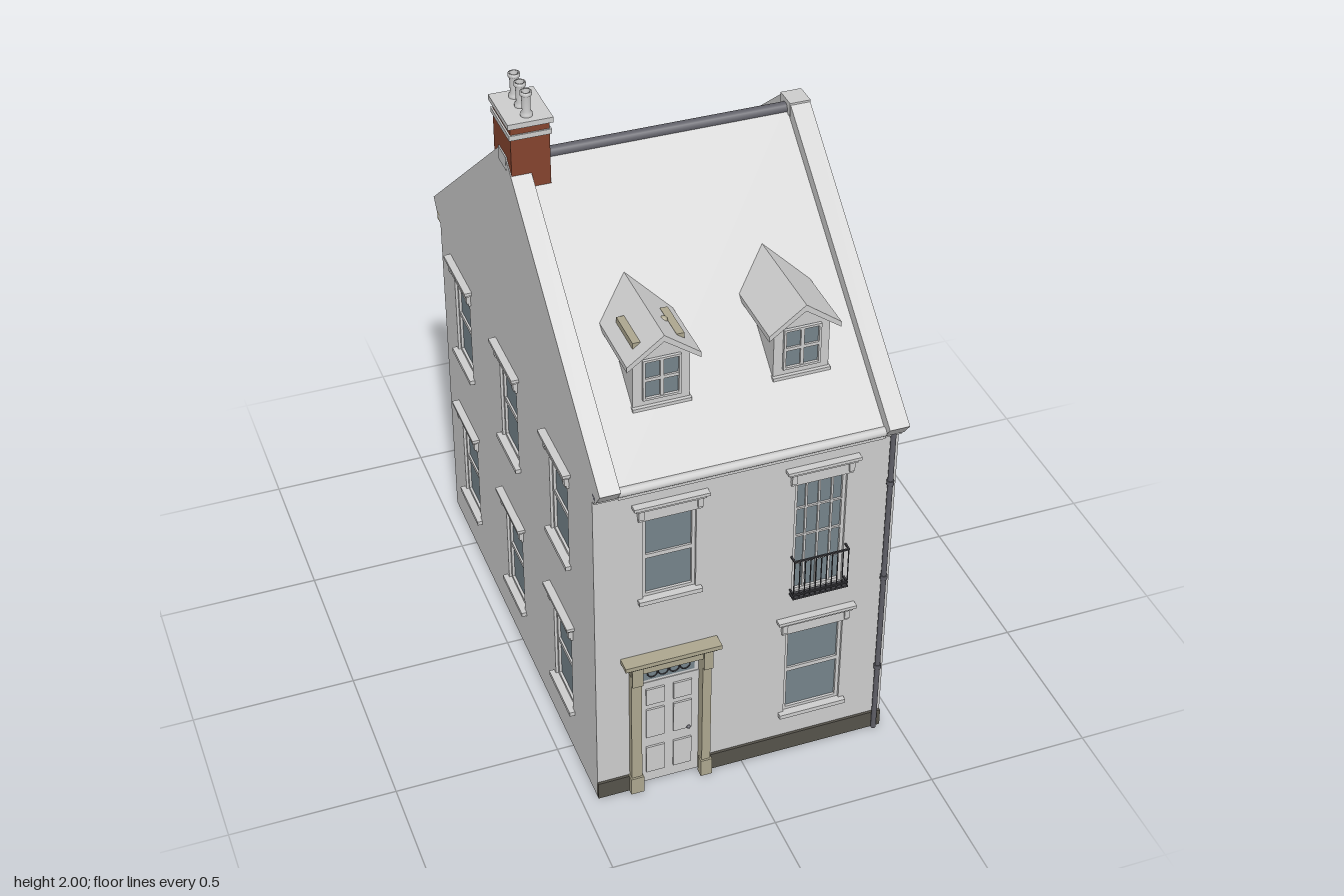
import * as THREE from 'three';

const mat = (color) => new THREE.MeshStandardMaterial({ color });
const STONE = mat(0xcccccc), GLASS = mat(0x74828a), TAN = mat(0xaca68e), BRICK = mat(0x84432e);
const PLINTH = mat(0x55524a), DARK = mat(0x5e5e66), IRON = mat(0x3c3c40), FLOOR = mat(0x4a3222);
const HALF_W = 0.45, HALF_D = 0.725, WALL = 0.03;

// Height of the gable coping at depth z
const slopeY = (z) => 1.18 + 0.81 * (0.79 - Math.abs(z));

function add(parent, name, geo, material, x = 0, y = 0, z = 0) {
  const m = new THREE.Mesh(geo, material);
  m.name = name;
  m.position.set(x, y, z);
  parent.add(m);
  return m;
}
// Box given by its limits on each axis
const box = (p, name, material, x0, x1, y0, y1, z0, z1) =>
  add(p, name, new THREE.BoxGeometry(x1 - x0, y1 - y0, z1 - z0), material,
    (x0 + x1) / 2, (y0 + y1) / 2, (z0 + z1) / 2);
const shapeOf = (pts) => new THREE.Shape(pts.map(([x, y]) => new THREE.Vector2(x, y)));
const extrude = (shape, depth) => new THREE.ExtrudeGeometry(shape, { depth, bevelEnabled: false });
function group(parent, name) {
  const g = new THREE.Group();
  g.name = name;
  parent.add(g);
  return g;
}

// Wall plate with window holes; its outer face lies on local z = 0
function wall(parent, name, outline, windows) {
  const s = shapeOf(outline);
  for (const { x, w, y0, y1 } of windows) {
    const a = x - w / 2, b = x + w / 2;
    s.holes.push(new THREE.Path([[a, y0], [a, y1], [b, y1], [b, y0]].map((p) => new THREE.Vector2(...p))));
  }
  add(parent, name, extrude(s, WALL), STONE, 0, 0, -WALL);
}

// Frame, glass and glazing bars filling a rectangle
function glazing(p, x0, x1, y0, y1, z, cols, rows, t = 0.01, bar = 0.006) {
  box(p, 'glass', GLASS, x0, x1, y0, y1, z - 0.012, z - 0.008);
  for (const [a, b] of [[x0, x0 + t], [x1 - t, x1]]) box(p, 'frameSide', STONE, a, b, y0, y1, z - 0.012, z);
  for (const [a, b] of [[y0, y0 + t], [y1 - t, y1]]) box(p, 'frameRail', STONE, x0, x1, a, b, z - 0.012, z);
  for (let i = 1; i < cols; i++) {
    const x = x0 + (x1 - x0) * i / cols;
    box(p, 'glazingBar', STONE, x - bar / 2, x + bar / 2, y0, y1, z - 0.01, z - 0.002);
  }
  for (let i = 1; i < rows; i++) {
    const y = y0 + (y1 - y0) * i / rows;
    box(p, 'glazingBar', STONE, x0, x1, y - bar / 2, y + bar / 2, z - 0.01, z - 0.002);
  }
}

function windowUnit(parent, { x, w, y0, y1, cols = 1, rows = 2, sill = true }) {
  const g = group(parent, 'window'), h = w / 2;
  glazing(g, x - h, x + h, y0, y1, -0.008, cols, rows, 0.01, rows === 2 ? 0.014 : 0.006);
  if (sill) box(g, 'sill', STONE, x - h - 0.016, x + h + 0.016, y0 - 0.014, y0, -0.01, 0.016);
  // hood: frieze, end brackets and stepped cornice
  box(g, 'frieze', STONE, x - h - 0.015, x + h + 0.015, y1, y1 + 0.045, -0.005, 0.007);
  for (const s of [-1, 1]) {
    const c = x + s * (h + 0.008);
    box(g, 'hoodBracket', STONE, c - 0.008, c + 0.008, y1 + 0.01, y1 + 0.045, 0, 0.013);
  }
  box(g, 'hoodMoulding', STONE, x - h - 0.024, x + h + 0.024, y1 + 0.04, y1 + 0.05, 0, 0.016);
  box(g, 'hoodCornice', STONE, x - h - 0.032, x + h + 0.032, y1 + 0.05, y1 + 0.06, 0, 0.023);
  // small room behind the glass
  box(g, 'room', TAN, x - h, x + h, y0, y1, -0.2, -0.03);
  box(g, 'roomFloor', FLOOR, x - h, x + h, y0 - 0.005, y0, -0.2, -0.03);
}

function door(parent) {
  const g = group(parent, 'door'), x0 = -0.318, x1 = -0.132, c = -0.225;
  box(g, 'doorLeaf', STONE, x0, x1, 0, 0.395, -0.025, -0.012);
  for (const s of [-1, 1])
    for (const [a, b] of [[0.04, 0.14], [0.18, 0.29], [0.31, 0.37]])
      box(g, 'doorPanel', STONE, c + s * 0.042 - 0.028, c + s * 0.042 + 0.028, a, b, -0.012, -0.006);
  add(g, 'doorKnob', new THREE.SphereGeometry(0.006, 12, 8), DARK, -0.165, 0.185, -0.004);
  // fanlight with scrolled ironwork
  box(g, 'fanlightFrame', STONE, x0, x1, 0.395, 0.465, -0.025, -0.014);
  box(g, 'fanlight', GLASS, c - 0.08, c + 0.08, 0.405, 0.455, -0.016, -0.012);
  for (const dx of [-0.05, -0.017, 0.017, 0.05])
    add(g, 'fanlightScroll', new THREE.TorusGeometry(0.015, 0.002, 6, 18), IRON, c + dx, 0.43, -0.01);
  // surround
  for (const [a, b] of [[-0.35, -0.318], [-0.132, -0.105]]) {
    box(g, 'pilaster', TAN, a, b, 0, 0.465, -0.02, 0.02);
    box(g, 'pilasterBase', TAN, a - 0.004, b + 0.004, 0, 0.06, 0, 0.026);
    box(g, 'pilasterBracket', TAN, a, b, 0.43, 0.5, 0.01, 0.032);
  }
  box(g, 'doorFrieze', TAN, -0.352, -0.103, 0.465, 0.5, -0.02, 0.022);
  box(g, 'doorCornice', TAN, -0.363, -0.095, 0.497, 0.508, 0, 0.035);
  box(g, 'doorCorniceTop', TAN, -0.375, -0.083, 0.508, 0.522, 0, 0.045);
}

function balcony(parent) {
  const g = group(parent, 'balcony'), x0 = 0.137, x1 = 0.308;
  box(g, 'balconyBase', IRON, x0, x1, 0.61, 0.616, 0, 0.028);
  for (const y of [0.625, 0.748]) {
    box(g, 'balconyRail', IRON, x0, x1, y, y + 0.005, 0.023, 0.028);
    for (const x of [x0, x1 - 0.005]) box(g, 'balconySideRail', IRON, x, x + 0.005, y, y + 0.005, 0, 0.028);
  }
  for (let i = 0; i <= 10; i++)
    add(g, 'baluster', new THREE.CylinderGeometry(0.0018, 0.0018, 0.14, 6), IRON,
      x0 + 0.0025 + i * (x1 - x0 - 0.005) / 10, 0.68, 0.0255);
}

function dormer(parent, x) {
  const g = group(parent, 'dormer');
  g.position.x = x;
  add(g, 'dormerBody', extrude(shapeOf([[-0.082, 1.28], [0.082, 1.28], [0.082, 1.452], [0, 1.515], [-0.082, 1.452]]), 0.25),
    STONE, 0, 0, 0.345);
  add(g, 'dormerRoof', extrude(shapeOf([[0.106, 1.435], [0.106, 1.452], [0, 1.532], [-0.106, 1.452], [-0.106, 1.435], [0, 1.512]]), 0.32),
    STONE, 0, 0, 0.298);
  glazing(g, -0.055, 0.055, 1.318, 1.45, 0.604, 2, 2, 0.007, 0.01);
  box(g, 'dormerSill', STONE, -0.085, 0.085, 1.288, 1.298, 0.58, 0.606);
}

export function createModel() {
  const house = new THREE.Group();
  house.name = 'townHouse';

  // Front wall
  const front = group(house, 'front');
  front.position.z = HALF_D;
  const frontWindows = [
    { x: -0.228, w: 0.156, y0: 0.73, y1: 1.013 },
    { x: 0.222, w: 0.156, y0: 0.612, y1: 1.013, cols: 4, rows: 4, sill: false },
    { x: 0.222, w: 0.178, y0: 0.15, y1: 0.463 },
  ];
  const iw = HALF_W - WALL, top = 1.154;
  wall(front, 'frontWall', [[-iw, 0], [-0.32, 0], [-0.32, 0.465], [-0.13, 0.465], [-0.13, 0], [iw, 0], [iw, top], [-iw, top]], frontWindows);
  frontWindows.forEach((w) => windowUnit(front, w));
  door(front);
  balcony(front);
  box(front, 'plinth', PLINTH, -HALF_W, -0.354, 0, 0.058, -0.005, 0.008);
  box(front, 'plinth', PLINTH, -0.101, HALF_W, 0, 0.058, -0.005, 0.008);
  add(front, 'drainpipe', new THREE.CylinderGeometry(0.008, 0.008, 1.13, 12), DARK, 0.428, 0.565, 0.012);
  for (const y of [0.25, 0.6, 0.95])
    add(front, 'pipeCollar', new THREE.CylinderGeometry(0.011, 0.011, 0.015, 12), DARK, 0.428, y, 0.012);

  // Back wall
  box(house, 'backWall', STONE, -iw, iw, 0, top, -HALF_D, -HALF_D + WALL);

  // Gable walls with two rows of windows and a raised coping
  const apex = 1.741;
  for (const s of [1, -1]) {
    const side = group(house, s > 0 ? 'leftSide' : 'rightSide');
    side.position.x = s * HALF_W;
    side.rotation.y = s * Math.PI / 2;
    const windows = [];
    for (const z of [0.427, -0.04, -0.51])
      for (const [y0, y1] of [[0.16, 0.445], [0.728, 1.01]]) windows.push({ x: -s * z, w: 0.162, y0, y1 });
    wall(side, 'gableWall', [[-HALF_D, 0], [HALF_D, 0], [HALF_D, top], [0, apex], [-HALF_D, top]], windows);
    windows.forEach((w) => windowUnit(side, w));
    add(side, 'coping', extrude(shapeOf([[HALF_D, top - 0.03], [0.755, 1.135], [0.79, 1.18], [0.03, 1.795], [-0.03, 1.795],
      [-0.79, 1.18], [-0.755, 1.135], [-HALF_D, top - 0.03], [-HALF_D, top], [0, apex], [HALF_D, top]]), 0.06), STONE, 0, 0, -0.06);
    box(side, 'copingCap', STONE, -0.035, 0.035, 1.755, 1.797, -0.062, 0.001);
  }

  // Roof slopes and ridge tiles
  const r = (z, drop) => [z, slopeY(z) - drop];
  const roof = add(house, 'roof', extrude(shapeOf([r(0.765, 0.065), r(0.765, 0.045), r(0, 0.045),
    r(-0.765, 0.045), r(-0.765, 0.065), r(0, 0.065)]), 0.78), STONE, -0.39);
  roof.rotation.y = Math.PI / 2;
  const ridge = add(house, 'ridgeTiles', new THREE.CylinderGeometry(0.018, 0.018, 0.78, 16), DARK, 0, 1.766, 0);
  ridge.rotation.z = Math.PI / 2;

  // Eaves: cornice and gutter in front, boarded eaves behind
  box(house, 'frontCornice', STONE, -HALF_W, HALF_W, 1.118, 1.135, HALF_D, 0.74);
  box(house, 'frontCorniceUpper', DARK, -HALF_W, HALF_W, 1.135, 1.15, HALF_D, 0.752);
  const gutter = add(house, 'gutter', new THREE.CylinderGeometry(0.014, 0.014, 0.78, 12), STONE, 0, 1.155, 0.757);
  gutter.rotation.z = Math.PI / 2;
  box(house, 'backEaves', TAN, -HALF_W, HALF_W, 1.12, 1.15, -0.757, -HALF_D);
  box(house, 'backEavesUpper', TAN, -0.39, 0.39, 1.14, 1.16, -0.765, -HALF_D);

  // Dormers, the right one with small roof vents
  for (const x of [-0.205, 0.202]) dormer(house, x);
  for (const x of [-0.268, -0.143]) box(house, 'dormerVent', TAN, x - 0.011, x + 0.011, 1.475, 1.495, 0.445, 0.575);
  add(house, 'ventKnob', new THREE.SphereGeometry(0.012, 12, 8), TAN, -0.165, 1.497, 0.503);

  // Chimney
  const chimney = group(house, 'chimney');
  chimney.position.set(-0.391, 0, -0.005);
  box(chimney, 'stack', BRICK, -0.056, 0.056, 1.7, 1.912, -0.08, 0.08);
  box(chimney, 'stackBand', STONE, -0.061, 0.061, 1.873, 1.888, -0.085, 0.085);
  box(chimney, 'stackCap', STONE, -0.065, 0.065, 1.91, 1.926, -0.089, 0.089);
  const pot = [[0.017, 0], [0.017, 0.008], [0.012, 0.015], [0.013, 0.06], [0.017, 0.064], [0.017, 0.074], [0.011, 0.074], [0.01, 0.01], [0, 0.01]];
  for (const z of [-0.053, 0, 0.053])
    add(chimney, 'chimneyPot', new THREE.LatheGeometry(pot.map((p) => new THREE.Vector2(...p)), 16), STONE, 0, 1.926, z);

  return house;
}
